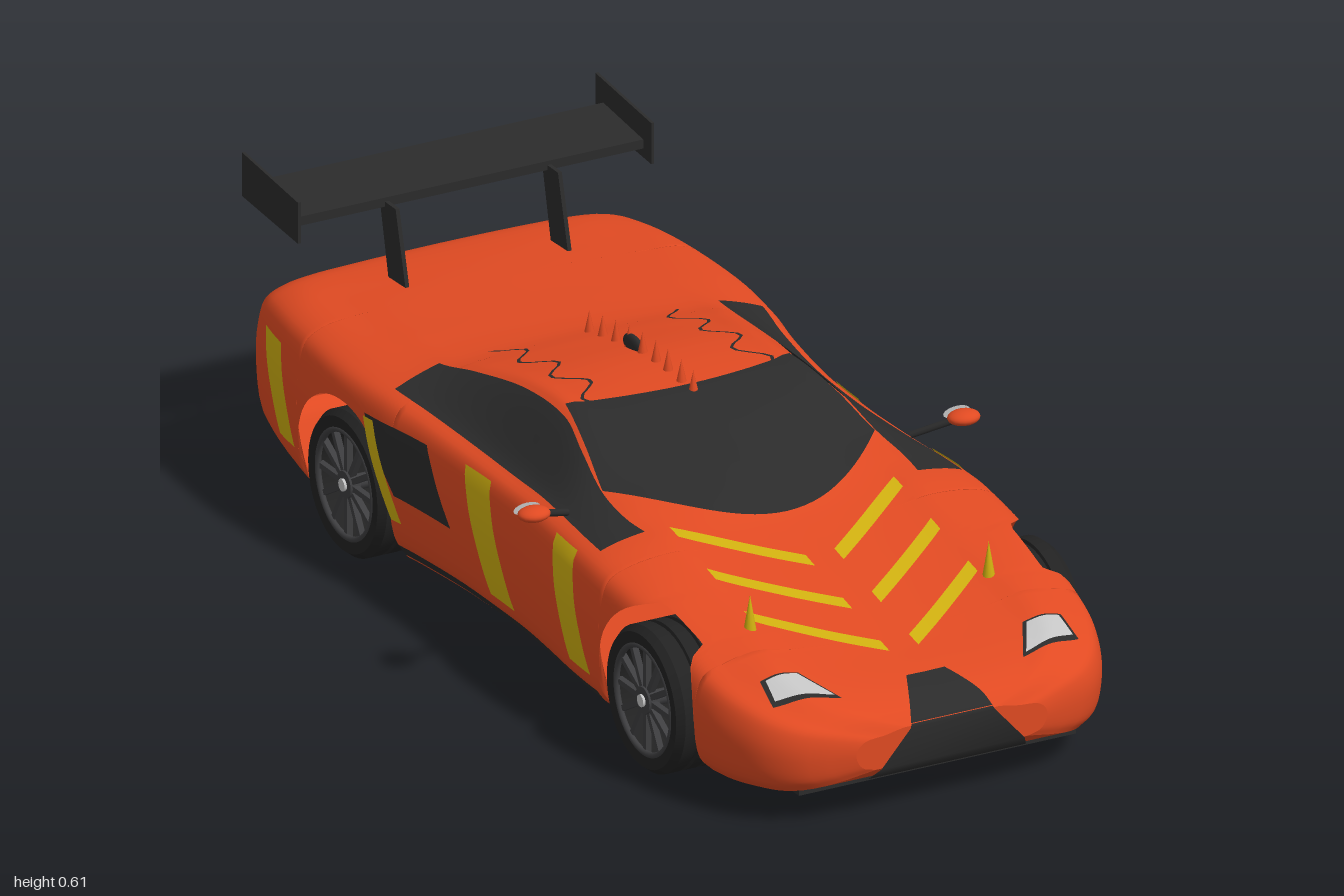
import * as THREE from 'three';
import { toCreasedNormals } from 'three/addons/utils/BufferGeometryUtils.js';

const mat = (name, color) => {
  const m = new THREE.MeshStandardMaterial({ color, side: THREE.DoubleSide });
  m.name = name;
  return m;
};

// Body stations: z, half width, base y, shoulder y, roof edge x, roof edge y, centre y
const KEYS = [
  [1.0, 0.20, 0.10, 0.165, 0.10, 0.172, 0.172], [0.98, 0.28, 0.08, 0.185, 0.17, 0.193, 0.193],
  [0.94, 0.34, 0.065, 0.205, 0.23, 0.217, 0.21], [0.88, 0.38, 0.06, 0.228, 0.27, 0.242, 0.225],
  [0.8, 0.405, 0.056, 0.252, 0.28, 0.266, 0.24], [0.6, 0.42, 0.052, 0.305, 0.27, 0.305, 0.285],
  [0.4, 0.425, 0.052, 0.335, 0.27, 0.348, 0.333], [0.3, 0.42, 0.052, 0.34, 0.28, 0.358, 0.37],
  [0.2, 0.41, 0.052, 0.342, 0.275, 0.375, 0.405], [0.1, 0.402, 0.052, 0.345, 0.26, 0.415, 0.435],
  [0, 0.40, 0.052, 0.345, 0.24, 0.443, 0.452], [-0.15, 0.402, 0.052, 0.35, 0.24, 0.443, 0.455],
  [-0.3, 0.415, 0.052, 0.362, 0.26, 0.42, 0.432], [-0.4, 0.43, 0.054, 0.372, 0.28, 0.40, 0.412],
  [-0.55, 0.44, 0.06, 0.38, 0.29, 0.395, 0.405], [-0.75, 0.425, 0.075, 0.385, 0.29, 0.39, 0.40],
  [-0.88, 0.40, 0.09, 0.378, 0.28, 0.386, 0.39], [-0.93, 0.38, 0.10, 0.362, 0.26, 0.37, 0.375],
  [-0.95, 0.36, 0.115, 0.345, 0.25, 0.352, 0.355],
];

// Smooth interpolation of the station table
function key(z) {
  const n = KEYS.length;
  let i = 0;
  while (i < n - 2 && z < KEYS[i + 1][0]) i++;
  const a = KEYS[i], b = KEYS[i + 1], p = KEYS[Math.max(i - 1, 0)], q = KEYS[Math.min(i + 2, n - 1)];
  const h = b[0] - a[0], t = (z - a[0]) / h, t2 = t * t, t3 = t2 * t;
  return a.map((v, c) => v * (2 * t3 - 3 * t2 + 1) + b[c] * (3 * t2 - 2 * t3)
    + h * (t3 - 2 * t2 + t) * (b[c] - p[c]) / (b[0] - p[0])
    + h * (t3 - t2) * (q[c] - v) / (q[0] - a[0]));
}

// Half cross-section, from the sill up to the centre line
function section(z) {
  const [, w, base, sh, rx, ry, top] = key(z), h = sh - base;
  return new THREE.CatmullRomCurve3([
    [w - 0.04, base], [w - 0.012, base + 0.15 * h], [w, base + 0.5 * h], [w - 0.004, base + 0.75 * h],
    [w - 0.02, base + 0.93 * h], [w - 0.06, sh], [rx, ry], [rx * 0.8, ry + (top - ry) * 0.4],
    [rx * 0.4, ry + (top - ry) * 0.85], [0, top],
  ].map(([x, y]) => new THREE.Vector3(x, y, z)));
}
function solve(curve, lo, hi, below) {
  for (let i = 0; i < 24; i++) {
    const m = (lo + hi) / 2;
    if (below(curve.getPoint(m))) lo = m; else hi = m;
  }
  return lo;
}
const heightT = (c, y) => solve(c, 0, 0.555, (p) => p.y < y);
const sideX = (y, z) => { const c = section(z); return c.getPoint(heightT(c, y)).x; };
const topY = (x, z) => { const c = section(z); return c.getPoint(solve(c, 0.23, 1, (p) => p.x > Math.abs(x))).y; };

// Surface through rows of [x, y, z] points
function grid(rows) {
  const n = rows[0].length, idx = [];
  for (let r = 0; r < rows.length - 1; r++) for (let c = 0; c < n - 1; c++) {
    const a = r * n + c, b = a + n;
    idx.push(a, b, a + 1, b, b + 1, a + 1);
  }
  const g = new THREE.BufferGeometry();
  g.setAttribute('position', new THREE.Float32BufferAttribute(rows.flat(2), 3));
  g.setIndex(idx);
  g.computeVertexNormals();
  return g;
}
const sample = (nu, nv, f) => grid(Array.from({ length: nv + 1 }, (_, j) =>
  Array.from({ length: nu + 1 }, (_, i) => f(i / nu, j / nv))));
const mix = (a, b, t) => a + (b - a) * t;
const bilinear = ([a, b, c, d], u, v) => [0, 1].map((k) => mix(mix(a[k], b[k], u), mix(d[k], c[k], u), v));
// Thin paint on the upper skin, corners as [x, z]; and on the flank, corners as [z, y]
const topPatch = (q, s, off = 0.004, n = 10) => sample(n, n, (u, v) => {
  const [x, z] = bilinear(q, u, v);
  return [s * x, topY(x, z) + off, z];
});
const sidePatch = (q, s, off = 0.004, n = 14) => sample(n, n, (u, v) => {
  const [z, y] = bilinear(q, u, v);
  return [s * (sideX(y, z) + off), y, z];
});
// Flat plate drawn in z and y
function plate(points, thick) {
  const g = new THREE.ExtrudeGeometry(new THREE.Shape(points.map((p) => new THREE.Vector2(...p))),
    { depth: thick, bevelEnabled: false });
  return g.translate(0, 0, -thick / 2).rotateY(-Math.PI / 2);
}

export function createModel() {
  const orange = mat('orangePaint', 0xe04a22), black = mat('blackTrim', 0x2b2b2b), tyre = mat('tyreRubber', 0x222222);
  const yellow = mat('yellowPaint', 0xd0b010), silver = mat('silver', 0xc4c4c4), dark = mat('rimMetal', 0x3e3e40);
  const car = new THREE.Group();
  car.name = 'sportsCar';
  const add = (name, geo, m, x = 0, y = 0, z = 0, parent = car) => {
    const mesh = new THREE.Mesh(geo, m);
    mesh.name = name;
    mesh.position.set(x, y, z);
    parent.add(mesh);
    return mesh;
  };
  const box = (w, h, d) => new THREE.BoxGeometry(w, h, d);

  // Body shell with open wheel arches
  const stations = [], R = 0.165, axles = [0.6, -0.52];
  const run = (a, b) => {
    const n = Math.ceil((a - b) / 0.012);
    for (let i = 0; i <= n; i++) stations.push([mix(a, b, i / n), 0]);
  };
  const arch = (zc) => {
    for (let i = 0; i <= 28; i++) {
      const a = Math.PI * i / 28;
      stations.push([zc + R * Math.cos(a), 0.15 + R * Math.sin(a)]);
    }
  };
  run(1, axles[0] + R); arch(axles[0]); run(axles[0] - R, axles[1] + R); arch(axles[1]); run(axles[1] - R, -0.95);
  const M = 36;
  const bodyRow = ([z, cut]) => {
    const c = section(z), t0 = cut ? heightT(c, cut) : 0;
    const half = Array.from({ length: M + 1 }, (_, i) => c.getPoint(mix(t0, 1, i / M)).toArray());
    return [...half, ...half.slice(0, M).reverse().map(([x, y, zz]) => [-x, y, zz])];
  };
  add('bodyShell', grid(stations.map(bodyRow)), orange);
  add('floor', grid(stations.map(([z, cut]) => {
    const k = key(z), w = cut ? 0.28 : k[1] - 0.04;
    return [[-w, k[2], z], [w, k[2], z]];
  })), orange);
  for (const [name, z] of [['noseCap', 1], ['tailCap', -0.95]]) {
    const outline = bodyRow([z, 0]).map(([x, y]) => new THREE.Vector2(x, y));
    add(name, new THREE.ShapeGeometry(new THREE.Shape(outline)), orange, 0, 0, z);
  }

  // Nose panel and lip
  add('nosePanelTop', topPatch([[-0.04, 0.9], [0.04, 0.9], [0.085, 0.999], [-0.085, 0.999]], 1), black);
  add('nosePanelFront', grid([[0.085, 0.176, 1.0], [0.088, 0.17, 1.004], [0.15, 0.1, 1.004], [0.165, 0.076, 0.982], [0.185, 0.058, 0.94]]
    .map(([w, y, z]) => [[-w, y, z], [w, y, z]])), black);
  add('frontLip', box(0.58, 0.012, 0.03), black, 0, 0.061, 0.93);

  // Glass
  add('windscreen', sample(28, 24, (u, v) => {
    const s = u * 2 - 1, x = s * mix(0.285, 0.235, v), z = mix(0.38 - 0.18 * s * s, 0.01 - 0.04 * s * s, v);
    return [x, topY(x, z) + 0.005, z];
  }), black);

  for (const s of [1, -1]) {
    const side = s > 0 ? 'left' : 'right';
    add(side + 'SideWindow', sample(10, 50, (u, v) => {
      const z = mix(0.36, -0.4, v), k = key(z), x = mix(k[4] + 0.012, k[1] - 0.045, u);
      return [s * x, topY(x, z) + 0.005, z];
    }), black);
    // Zigzag roof seam
    add(side + 'RoofSeam', sample(1, 24, (u, v) => {
      const z = mix(0, -0.38, v), x = 0.17 + 0.025 * Math.sin(v * 20) + u * 0.007;
      return [s * x, topY(x, z) + 0.004, z];
    }), black);

    // Bonnet stripes and horns
    for (const z of [0.36, 0.5, 0.64])
      add(side + 'BonnetStripe', topPatch([[0.235, z], [0.235, z + 0.035], [0.03, z + 0.18], [0.03, z + 0.145]], s), yellow);
    add(side + 'BonnetHorn', new THREE.ConeGeometry(0.012, 0.07, 12), yellow, s * 0.25, 0.315, 0.69);

    // Headlights
    add(side + 'HeadlightFrame', topPatch([[0.32, 0.902], [0.315, 0.843], [0.235, 0.843], [0.19, 0.927]], s, 0.003), black);
    add(side + 'Headlight', topPatch([[0.312, 0.895], [0.307, 0.85], [0.24, 0.85], [0.2, 0.92]], s, 0.006), silver);

    // Flank stripes, vent and sill
    add(side + 'FrontStripe', sidePatch([[0.40, 0.115], [0.315, 0.115], [0.22, 0.325], [0.31, 0.325]], s), yellow);
    add(side + 'DoorStripe', sidePatch([[0.07, 0.11], [-0.02, 0.11], [-0.13, 0.325], [-0.04, 0.325]], s), yellow);
    add(side + 'RearStripe', sidePatch([[-0.695, 0.15], [-0.765, 0.15], [-0.85, 0.33], [-0.765, 0.33]], s), yellow);
    add(side + 'Vent', sidePatch([[-0.155, 0.19], [-0.335, 0.19], [-0.435, 0.32], [-0.25, 0.32]], s), black);
    add(side + 'VentStripe', sidePatch([[-0.315, 0.14], [-0.345, 0.14], [-0.435, 0.315], [-0.405, 0.315]], s, 0.006), yellow);
    add(side + 'Sill', sidePatch([[0.41, 0.062], [-0.345, 0.062], [-0.345, 0.085], [0.41, 0.085]], s, 0.004, 40), black);

    // Door mirror
    const arm = new THREE.LineCurve3(new THREE.Vector3(s * 0.36, 0.35, 0.2), new THREE.Vector3(s * 0.435, 0.378, 0.235));
    add(side + 'MirrorArm', new THREE.TubeGeometry(arm, 1, 0.007, 8), black);
    add(side + 'MirrorHousing', new THREE.SphereGeometry(1, 20, 12).scale(0.032, 0.014, 0.026), orange, s * 0.45, 0.381, 0.238);
    add(side + 'MirrorGlass', new THREE.CircleGeometry(1, 20).rotateY(Math.PI).scale(0.028, 0.012, 1), silver, s * 0.45, 0.381, 0.211);

    // Rear wing supports and end plates
    add(side + 'WingStrut', plate([[-0.735, 0.385], [-0.8, 0.385], [-0.835, 0.54], [-0.775, 0.54]], 0.008), black, s * 0.17);
    add(side + 'WingEndPlate', plate([[-0.785, 0.51], [-0.995, 0.525], [-0.995, 0.612], [-0.785, 0.592]], 0.006), black, s * 0.37);

    // Wheels
    axles.forEach((z, i) => {
      const wheel = new THREE.Group();
      wheel.name = side + (i ? 'RearWheel' : 'FrontWheel');
      wheel.position.set(s * 0.365, 0.142, z);
      wheel.rotation.y = s > 0 ? 0 : Math.PI;
      car.add(wheel);
      const profile = [[0.107, -0.06], [0.13, -0.062], [0.141, -0.048], [0.141, -0.022], [0.135, -0.02], [0.135, -0.014], [0.141, -0.012],
        [0.141, 0.012], [0.135, 0.014], [0.135, 0.02], [0.141, 0.022], [0.141, 0.048], [0.13, 0.062], [0.107, 0.06], [0.107, -0.06]];
      const lathe = new THREE.LatheGeometry(profile.map((p) => new THREE.Vector2(...p)), 48).rotateZ(-Math.PI / 2);
      add('tyre', toCreasedNormals(lathe, 0.5), tyre, 0, 0, 0, wheel);
      add('rimRing', new THREE.TorusGeometry(0.104, 0.006, 8, 48).rotateY(Math.PI / 2), dark, 0.056, 0, 0, wheel);
      for (let k = 0; k < 12; k++)
        add('spoke', box(0.012, 0.09, 0.011).translate(0, 0.06, 0).rotateX(k * Math.PI / 6), dark, 0.05, 0, 0, wheel);
      add('hub', new THREE.CylinderGeometry(0.026, 0.03, 0.02, 24).rotateZ(-Math.PI / 2), dark, 0.05, 0, 0, wheel);
      add('hubCap', new THREE.CylinderGeometry(0.012, 0.012, 0.006, 16).rotateZ(-Math.PI / 2), silver, 0.062, 0, 0, wheel);
      add('axle', new THREE.CylinderGeometry(0.015, 0.015, 0.14, 12).rotateZ(Math.PI / 2), dark, -0.03, 0, 0, wheel);
      add('brakeCaliper', new THREE.TorusGeometry(0.085, 0.014, 8, 16, 1.4).rotateY(Math.PI / 2).rotateX(-0.4), yellow, 0.0, 0, 0, wheel);
    });
  }

  // Rear wing blade
  add('wingBlade', plate([[-0.815, 0.53], [-0.965, 0.55], [-0.965, 0.564], [-0.815, 0.548]], 0.735), black);

  // Roof spikes and fin
  for (const z of [0.03, -0.015, -0.065, -0.11, -0.16, -0.21, -0.26, -0.31, -0.36])
    add('roofSpike', new THREE.ConeGeometry(0.01, 0.045, 10), orange, 0, topY(0, z) + 0.02, z);
  add('roofFin', new THREE.SphereGeometry(1, 16, 10).scale(0.01, 0.02, 0.035), black, 0, 0.455, -0.195);

  // Tail details
  add('tailSeam', box(0.6, 0.007, 0.006), black, 0, 0.328, -0.951);
  add('numberPlateFrame', box(0.14, 0.068, 0.006), black, 0, 0.275, -0.952);
  add('numberPlate', box(0.128, 0.056, 0.008), silver, 0, 0.275, -0.953);
  add('exhaust', new THREE.CylinderGeometry(0.022, 0.022, 0.03, 20).rotateX(Math.PI / 2), black, 0, 0.205, -0.952);
  for (const y of [0.135, 0.158, 0.181]) add('tailLouvre', box(0.5, 0.011, 0.008), black, 0, y, -0.951);
  for (const x of [-0.18, -0.06, 0.06, 0.18]) add('floorSlot', box(0.012, 0.006, 0.08), black, x, 0.058, -0.55);

  return car;
}
